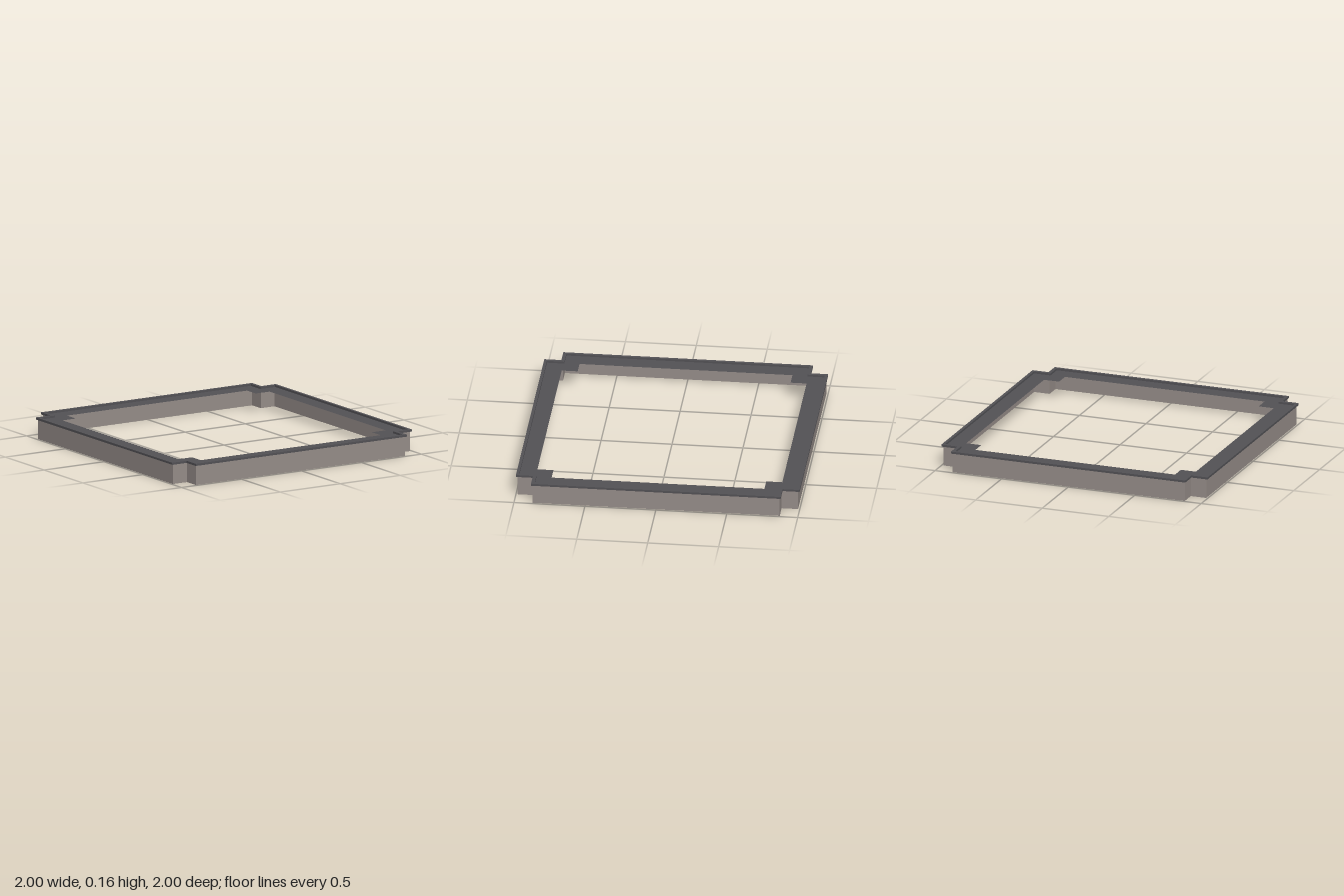
import * as THREE from 'three';

// Square outline with a square notch cut from each corner
function outlinePoints(edge, notch) {
  const points = [];
  for (let i = 0; i < 4; i++) {
    for (const [x, y] of [[edge, -notch], [edge, notch], [notch, notch]]) {
      const p = new THREE.Vector2(x, y);
      points.push(p.rotateAround(new THREE.Vector2(), i * Math.PI / 2));
    }
  }
  return points;
}

// Ring between two notched outlines, each given as [edge, notch]
function ringShape(outer, inner) {
  const shape = new THREE.Shape(outlinePoints(...outer));
  shape.holes.push(new THREE.Path(outlinePoints(...inner).reverse()));
  return shape;
}

export function createModel() {
  const group = new THREE.Group();
  const stone = new THREE.MeshStandardMaterial({ color: 0x958c88 });
  stone.name = 'warm grey wall';
  const slate = new THREE.MeshStandardMaterial({ color: 0x525155, side: THREE.DoubleSide });
  slate.name = 'dark grey roof';

  function addPart(name, geometry, material, y) {
    geometry.rotateX(-Math.PI / 2);
    const mesh = new THREE.Mesh(geometry, material);
    mesh.name = name;
    mesh.position.y = y;
    group.add(mesh);
  }
  const extrude = (shape, depth) =>
    new THREE.ExtrudeGeometry(shape, { depth, bevelEnabled: false });

  // Thin perimeter wall
  addPart('wall', extrude(ringShape([0.988, 0.872], [0.983, 0.867]), 0.14), stone, 0);
  // Flat ledge running around the inside of the wall
  addPart('ledge', new THREE.ShapeGeometry(ringShape([0.98, 0.857], [0.863, 0.75])), slate, 0.141);
  // Raised lip overhanging the wall
  addPart('lip', extrude(ringShape([1, 0.88], [0.979, 0.856]), 0.015), slate, 0.14);

  return group;
}
